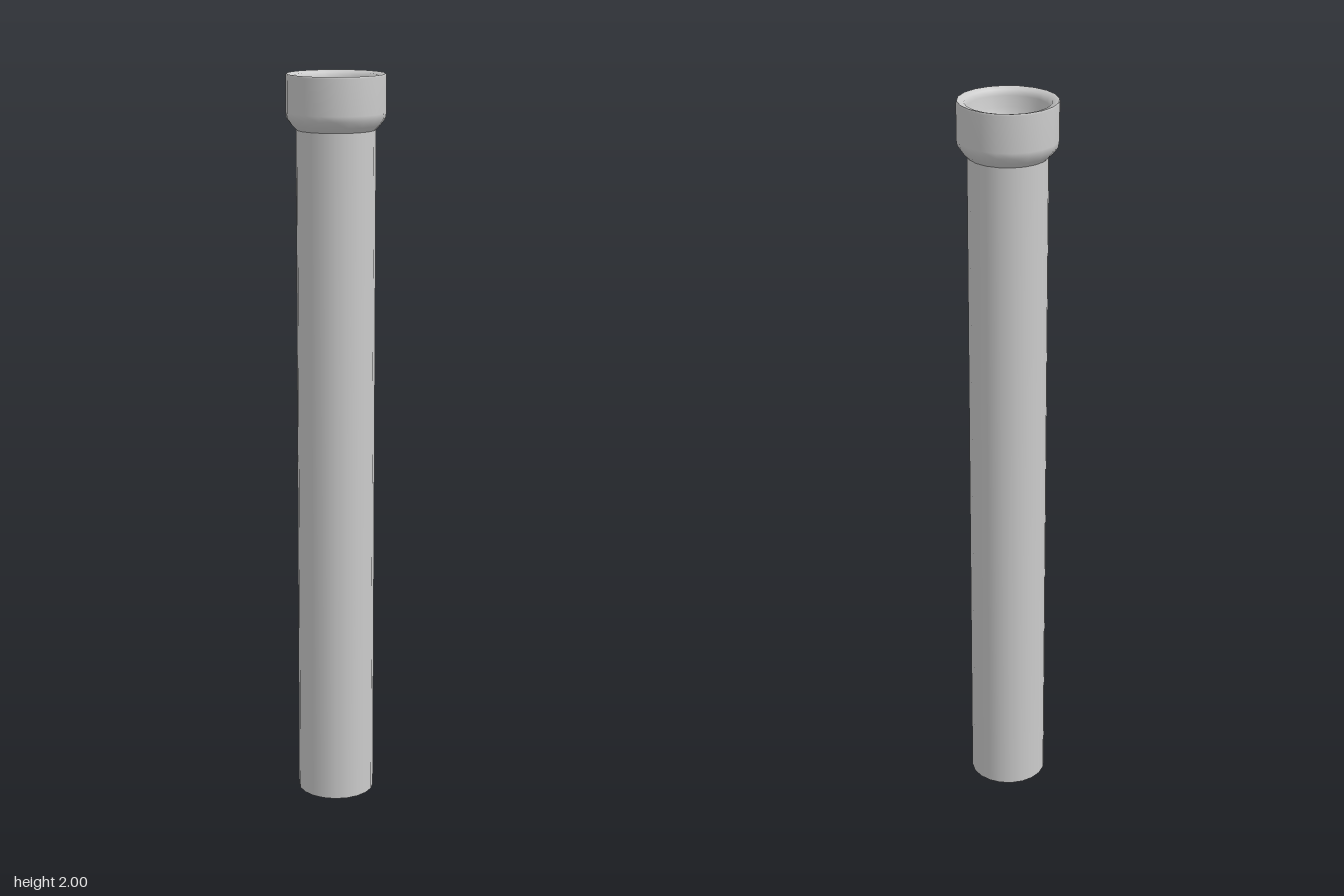
import * as THREE from 'three';

const SIDES = 20;
const material = new THREE.MeshStandardMaterial({ color: 0xcccccc, side: THREE.DoubleSide });

// Revolve a list of [radius, height] points, running bottom to top on the outside
function revolve(name, profile) {
  const points = profile.map(([r, y]) => new THREE.Vector2(r, y));
  const mesh = new THREE.Mesh(new THREE.LatheGeometry(points, SIDES), material);
  mesh.name = name;
  return mesh;
}

export function createModel() {
  const group = new THREE.Group();
  group.name = 'socketPipe';

  // Straight pipe, open at the lower end
  group.add(revolve('pipe', [[0.105, 0], [0.105, 1.855]]));

  // Wider collar with a sloped shoulder
  group.add(revolve('collar', [
    [0.105, 1.855], [0.118, 1.868], [0.13, 1.885], [0.132, 1.9], [0.132, 1.995], [0.13, 2],
  ]));

  // Lip and the rounded hollow inside the collar
  group.add(revolve('socketHollow', [
    [0.13, 2], [0.112, 1.995], [0.107, 1.98], [0.104, 1.95],
    [0.092, 1.915], [0.07, 1.89], [0.038, 1.875], [0, 1.87],
  ]));

  return group;
}
